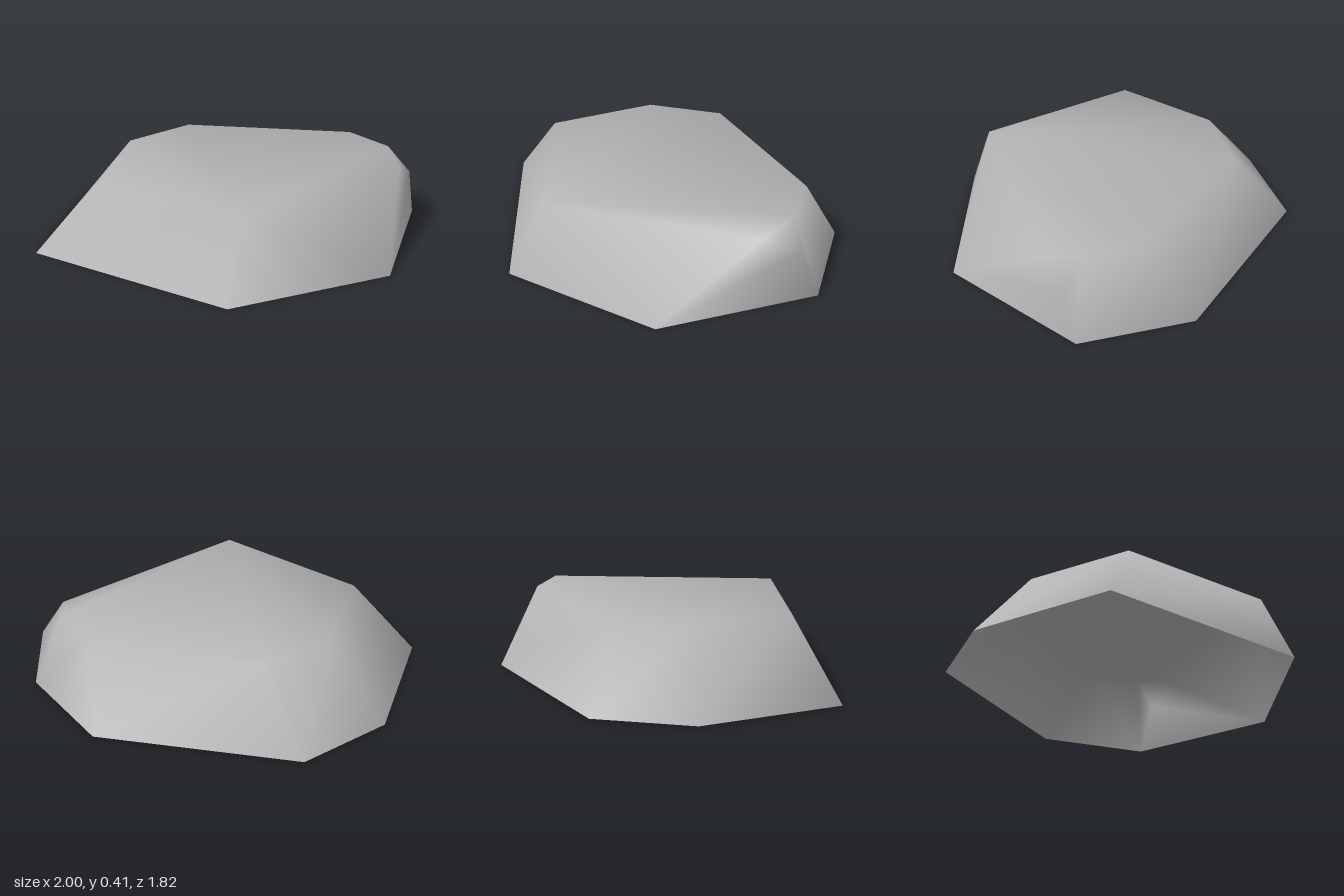
import * as THREE from 'three';

// Corners of the boulder: a ground ring, a flat-topped rim and a chipped corner
const corners = {
  // ground ring, clockwise seen from above
  a: [-1.0, 0, 0.02 - 0.04], b: [-0.79, 0, -0.53], c: [0.26, 0, -0.91], d: [0.84, 0, -0.66],
  e: [1.0, 0, 0.21], f: [0.4, 0, 0.905], g: [-0.81, 0, 0.77],
  // rim of the flat top
  A: [-0.655, 0.415, 0], B: [-0.48, 0.415, -0.39], C: [0.43, 0.415, -0.68],
  D: [0.71, 0.415, -0.55], F: [0.4, 0.415, 0.705], G: [-0.5, 0.415, 0.58],
  // chipped corner
  V: [0.84, 0.375, -0.37], W: [0.84, 0.28, -0.56],
};

// Faces as corner loops, counter-clockwise from outside
const faces = [
  'FDCBAG', 'FVD',               // top
  'baAB', 'cbBC', 'dcCDW',       // back walls
  'edWV', 'WDV',                 // chipped right corner
  'feF', 'eVF',                  // front right wall
  'gfFG', 'agGA',                // front and left walls
];

export function createModel() {
  const group = new THREE.Group();
  group.name = 'boulder';

  const names = Object.keys(corners);
  const index = [];
  for (const loop of faces) {
    const ids = [...loop].map((n) => names.indexOf(n));
    for (let i = 1; i < ids.length - 1; i++) index.push(ids[0], ids[i], ids[i + 1]);
  }

  // Shared corners give smooth shading; the underside stays open
  const geometry = new THREE.BufferGeometry();
  geometry.setAttribute('position', new THREE.Float32BufferAttribute(Object.values(corners).flat(), 3));
  geometry.setIndex(index);
  geometry.computeVertexNormals();

  const stone = new THREE.MeshStandardMaterial({ color: 0xb4b4b4, side: THREE.DoubleSide });
  stone.name = 'stone grey';

  const shell = new THREE.Mesh(geometry, stone);
  shell.name = 'stoneShell';
  group.add(shell);
  return group;
}
